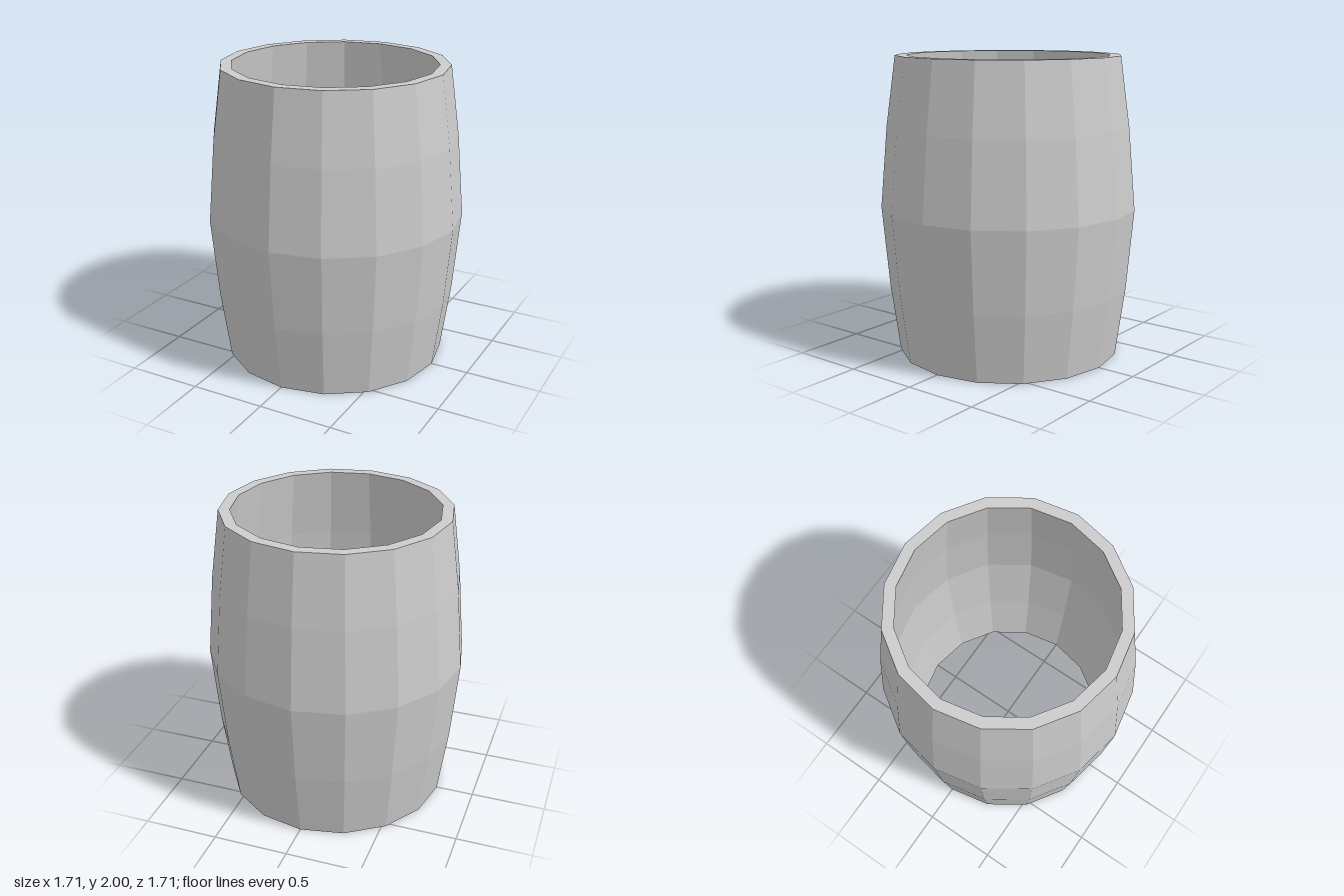
import * as THREE from 'three';

export function createModel() {
  const group = new THREE.Group();
  const material = new THREE.MeshStandardMaterial({ color: 0xcccccc, flatShading: true });

  // Bulging stave wall, open at both ends: outer side going up, inner side coming down
  const outer = [[0.745, 0], [0.808, 0.46], [0.855, 1], [0.808, 1.54], [0.745, 2]];
  const wall = 0.073;
  const inner = outer.map(([r, y]) => [r - wall, y]).reverse();
  const profile = [...outer, ...inner, outer[0]].map(([r, y]) => new THREE.Vector2(r, y));

  const barrel = new THREE.Mesh(new THREE.LatheGeometry(profile, 16), material);
  barrel.name = 'barrelWall';
  group.add(barrel);
  return group;
}
